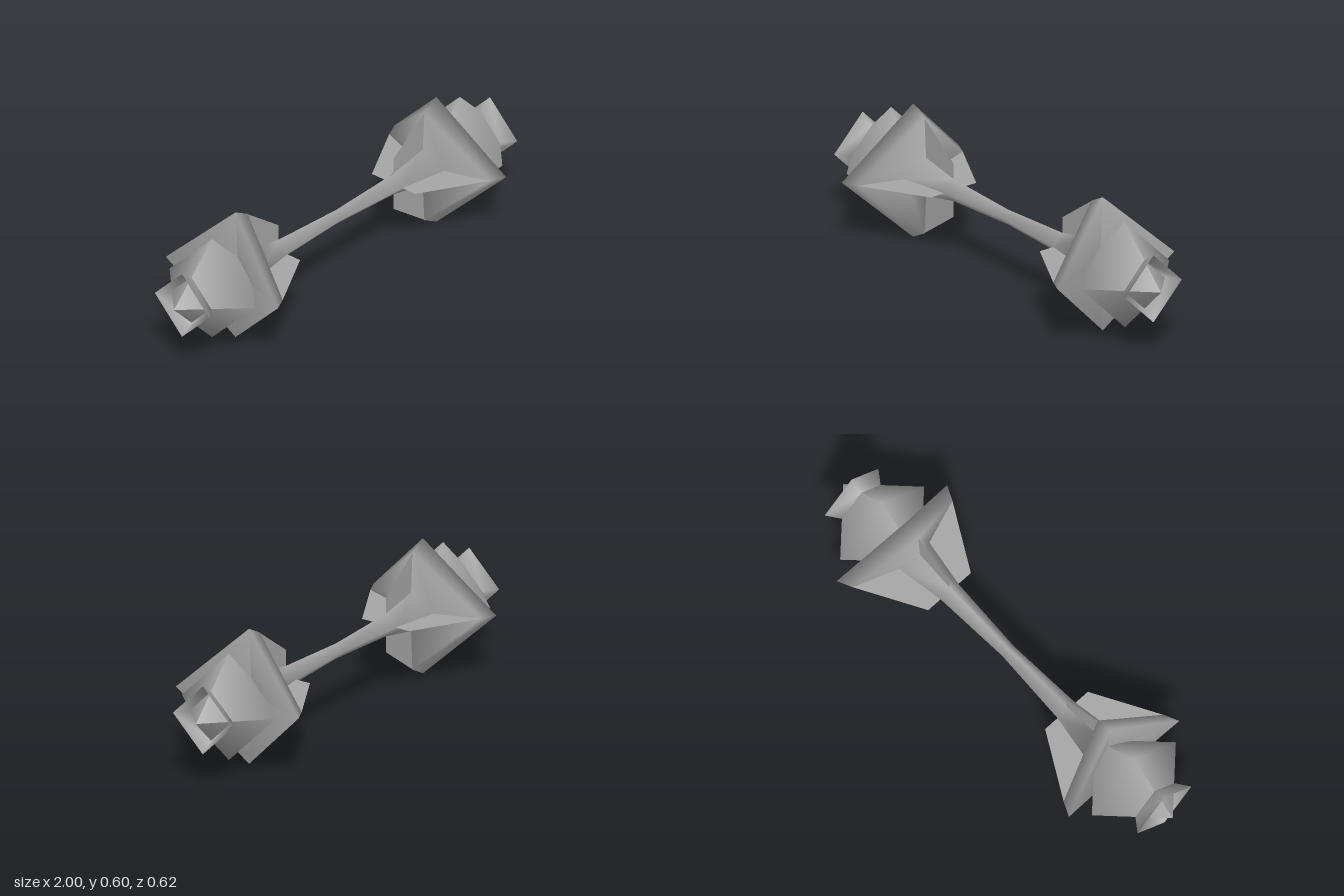
import * as THREE from 'three';

const CENTRE_Y = 0.3;

// Smooth four-sided loft along x. Each ring: [x at top/bottom, x at sides, y radius, z radius]
function loft(rings) {
  const pos = [], idx = [];
  for (const [xt, xs, ry, rz] of rings) {
    pos.push(xt, ry, 0, xs, 0, rz, xt, -ry, 0, xs, 0, -rz);
  }
  for (let i = 0; i < rings.length - 1; i++) {
    for (let j = 0; j < 4; j++) {
      const a = i * 4 + j, b = i * 4 + (j + 1) % 4;
      idx.push(a, b, a + 4, b, b + 4, a + 4);
    }
  }
  const g = new THREE.BufferGeometry();
  g.setAttribute('position', new THREE.Float32BufferAttribute(pos, 3));
  g.setIndex(idx);
  g.computeVertexNormals();
  return g;
}

// Flat fin outline: x along the shaft, y away from it
function fin(points) {
  return new THREE.ShapeGeometry(new THREE.Shape(points.map(p => new THREE.Vector2(...p))));
}

export function createModel() {
  const model = new THREE.Group();
  model.name = 'doubleEndedSpindle';
  const grey = new THREE.MeshStandardMaterial({ color: 0xa6a6a6, side: THREE.DoubleSide });
  grey.name = 'grey';

  const add = (parent, name, geometry) => {
    const mesh = new THREE.Mesh(geometry, grey);
    mesh.name = name;
    parent.add(mesh);
    return mesh;
  };

  // Waisted shaft flaring into a bent square guard at each end
  const half = [
    [0.355, 0.355, 0.05, 0.05],
    [0.535, 0.57, 0.085, 0.085],
    [0.545, 0.64, 0.26, 0.28],
    [0.62, 0.705, 0.3, 0.31],
    [0.6, 0.6, 0, 0],
  ];
  const mirrored = half.map(([a, b, c, d]) => [-a, -b, c, d]).reverse();
  add(model, 'shaftAndGuards', loft([...mirrored, [0, 0, 0.034, 0.032], ...half]));

  for (const side of ['left', 'right']) {
    const end = new THREE.Group();
    end.name = side + 'End';
    if (side === 'right') end.rotation.y = Math.PI;
    model.add(end);

    // Pointed bulb, its tip passing through the collar
    add(end, 'bulb', loft([
      [0.53, 0.53, 0, 0],
      [0.764, 0.764, 0.236, 0.236],
      [1, 1, 0, 0],
    ]));

    // Open flared collar around the tip
    add(end, 'collar', loft([
      [0.89, 0.89, 0.108, 0.108],
      [0.95, 0.95, 0.151, 0.151],
    ]));

    // Four thin fins between shaft and guard
    for (let k = 0; k < 4; k++) {
      const outline = k % 2
        ? [[0.355, 0.02], [0.56, 0.02], [0.64, 0.28], [0.355, 0.12]]
        : [[0.355, 0.02], [0.545, 0.02], [0.545, 0.258], [0.355, 0.12]];
      add(end, 'fin', fin(outline)).rotation.x = k * Math.PI / 2;
    }
  }

  model.position.y = CENTRE_Y;
  const root = new THREE.Group();
  root.name = 'model';
  root.add(model);
  return root;
}
